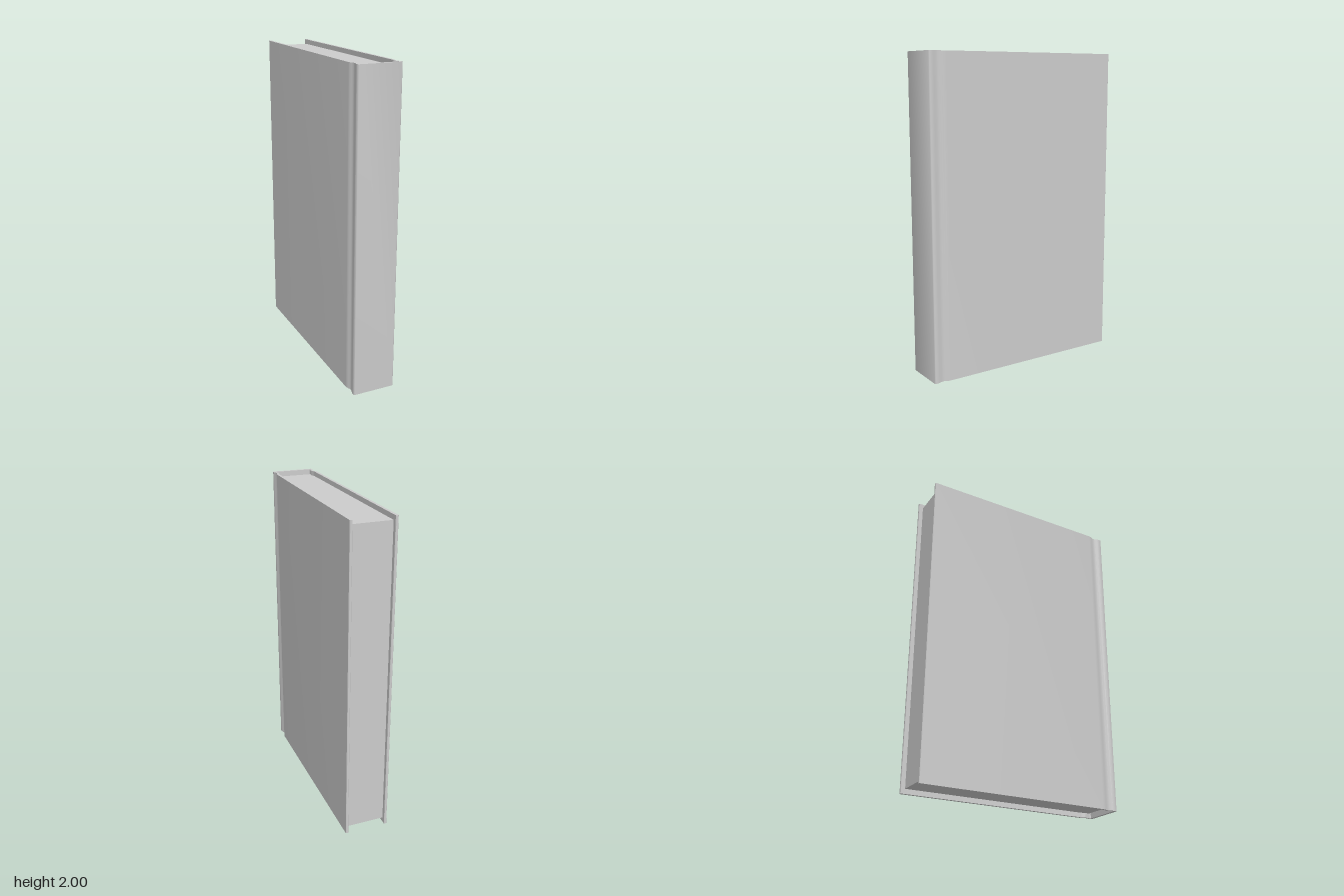
import * as THREE from 'three';
import { toCreasedNormals } from 'three/addons/utils/BufferGeometryUtils.js';

const HEIGHT = 2, INSET = 0.03;

// Half of the cover section as [x, z], fore edge to spine
const outer = [
  [0.126, -0.67], [0.137, -0.67], [0.14, -0.667], [0.14, 0.562], [0.139, 0.572],
  [0.134, 0.585], [0.128, 0.597], [0.126, 0.608], [0.128, 0.62], [0.134, 0.637],
  [0.137, 0.648], [0.137, 0.66], [0.135, 0.666], [0.13, 0.67],
];
const inner = [
  [0.123, -0.667], [0.123, 0.57], [0.12, 0.585], [0.115, 0.598], [0.113, 0.608],
  [0.115, 0.62], [0.121, 0.64], [0.121, 0.648], [0.118, 0.652],
];

const mirror = (points) => points.map(([x, z]) => [-x, z]);

export function createModel() {
  const group = new THREE.Group();
  group.name = 'book';
  const material = new THREE.MeshStandardMaterial({ color: 0xcccccc });

  // Cover: two boards, hinge grooves and spine in one extruded section
  const outline = [
    ...outer, ...mirror(outer).reverse(),
    ...mirror(inner), ...[...inner].reverse(),
  ];
  const section = new THREE.Shape(outline.map(([x, z]) => new THREE.Vector2(x, -z)));
  const coverGeometry = new THREE.ExtrudeGeometry(section, { depth: HEIGHT, bevelEnabled: false });
  coverGeometry.rotateX(-Math.PI / 2);
  const cover = new THREE.Mesh(toCreasedNormals(coverGeometry, 0.7), material);
  cover.name = 'cover';
  group.add(cover);

  // Page block, set back from the cover edges
  const back = -0.643, front = 0.638;
  const pages = new THREE.Mesh(
    new THREE.BoxGeometry(0.246, HEIGHT - 2 * INSET, front - back), material);
  pages.name = 'pages';
  pages.position.set(0, HEIGHT / 2, (front + back) / 2);
  group.add(pages);

  return group;
}
